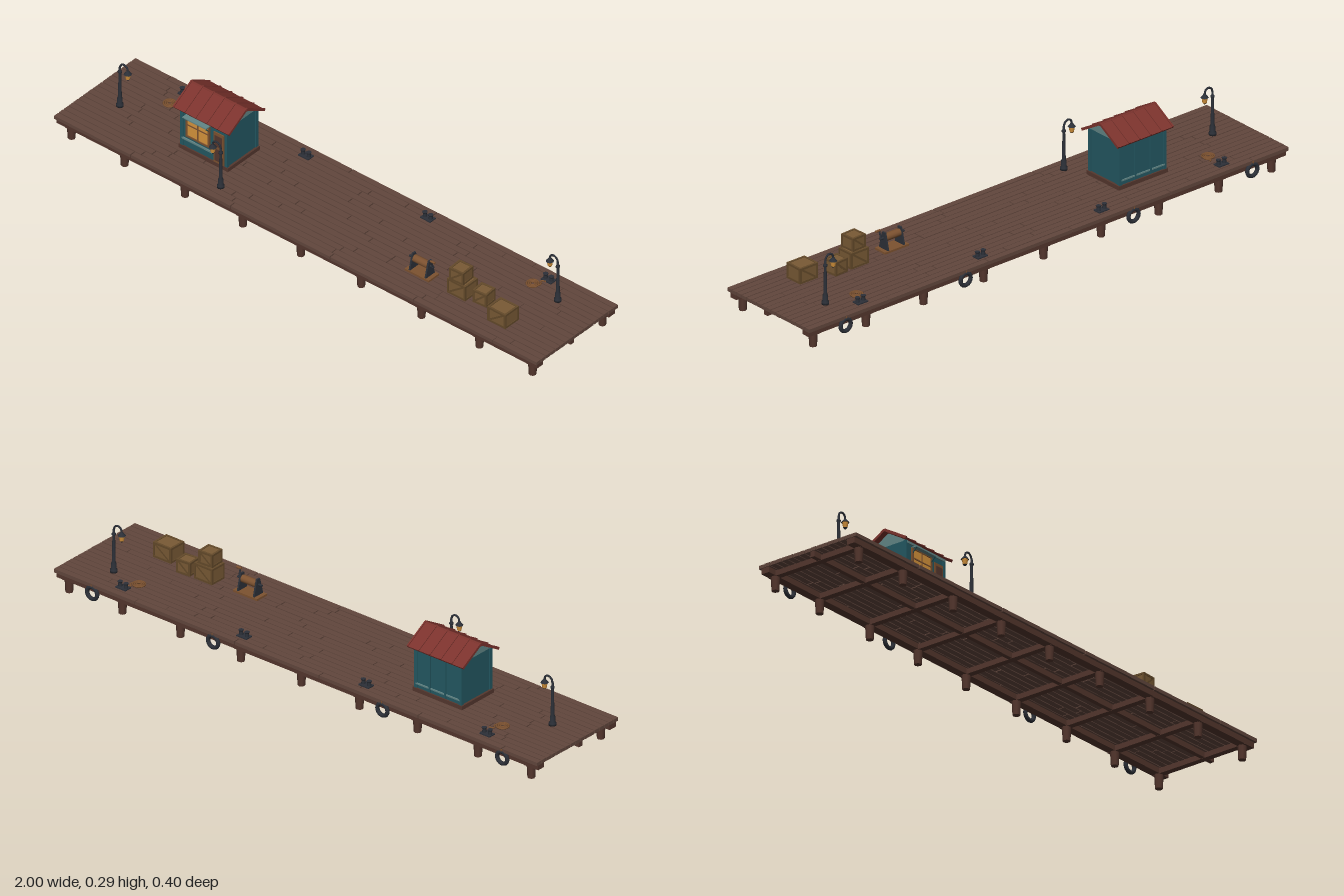
import * as THREE from 'three';

const material = (name, color) => {
  const m = new THREE.MeshStandardMaterial({ color });
  m.name = name;
  return m;
};
const M = {
  plank: material('deck wood', 0x62473d),
  beam: material('beam wood', 0x55372e),
  roof: material('roof red', 0x7c332d),
  wall: material('wall teal', 0x235862),
  trim: material('pale teal', 0x628686),
  iron: material('dark iron', 0x2c3038),
  amber: material('amber glass', 0xd8953c),
  crate: material('crate wood', 0x795a35),
  frame: material('crate frame', 0x644a2a),
  rope: material('rope brown', 0x7d5230),
};

let seed = 7;
const rnd = () => (seed = (seed * 16807) % 2147483647) / 2147483647;

function add(parent, name, geo, mat, x = 0, y = 0, z = 0) {
  const mesh = new THREE.Mesh(geo, mat);
  mesh.name = name;
  mesh.position.set(x, y, z);
  parent.add(mesh);
  return mesh;
}
// Box given by its centre
const box = (p, name, mat, w, h, d, x, y, z) => add(p, name, new THREE.BoxGeometry(w, h, d), mat, x, y, z);
// Cylinder standing on y
const post = (p, name, mat, rTop, rBottom, h, x, y, z, sides = 8) =>
  add(p, name, new THREE.CylinderGeometry(rTop, rBottom, h, sides), mat, x, y + h / 2, z);
// Round bar along a curve through points
const bar = (p, name, mat, r, pts, steps = 12) =>
  add(p, name, new THREE.TubeGeometry(new THREE.CatmullRomCurve3(pts.map(a => new THREE.Vector3(...a))), steps, r, 6), mat);
function group(parent, name, x = 0, y = 0, z = 0) {
  const g = new THREE.Group();
  g.name = name;
  g.position.set(x, y, z);
  parent.add(g);
  return g;
}

function buildDeck(root) {
  const deck = group(root, 'deck');
  // Staggered planks
  const rows = 17, pitch = 0.4 / rows;
  for (let r = 0; r < rows; r++) {
    const z = -0.2 + pitch * (r + 0.5);
    let x = -1;
    while (x < 0.999) {
      let end = x + (x === -1 ? 0.15 + rnd() * 0.3 : 0.3 + rnd() * 0.15);
      if (end > 0.9) end = 1;
      box(deck, 'plank', M.plank, end - x - (end < 1 ? 0.004 : 0), 0.012, pitch - 0.003,
        (x + end) / 2, 0.074 - rnd() * 0.001, z);
      x = end;
    }
  }
  // Long stringers, cross beams and piles
  for (const z of [-0.175, 0.018, 0.175])
    box(deck, 'stringer', M.beam, 1.99, 0.02, z === 0.018 ? 0.016 : 0.03, 0, 0.058, z);
  for (const x of [-0.95, -0.73, -0.48, -0.24, 0, 0.25, 0.5, 0.74, 0.96]) {
    box(deck, 'crossBeam', M.beam, 0.022, 0.018, 0.38, x, 0.056, 0);
    for (const z of [-0.17, 0.17]) post(deck, 'pile', M.beam, 0.016, 0.0125, 0.067, x, 0, z);
  }
}

function buildHut(root) {
  const hut = group(root, 'hut', -0.49, 0.08, -0.008);
  box(hut, 'hutBase', M.beam, 0.205, 0.014, 0.156, 0, 0.007, 0);
  box(hut, 'hutWalls', M.wall, 0.19, 0.148, 0.146, 0, 0.087, 0);
  // Gable prism under the roof
  const gable = new THREE.Shape([[-0.073, 0], [0.073, 0], [0, 0.046]].map(p => new THREE.Vector2(...p)));
  const gableGeo = new THREE.ExtrudeGeometry(gable, { depth: 0.19, bevelEnabled: false });
  gableGeo.translate(0, 0, -0.095);
  gableGeo.rotateY(Math.PI / 2);
  add(hut, 'gable', gableGeo, M.trim, 0, 0.161, 0);
  // Corner posts and low trim rails
  for (const s of [-1, 1]) {
    for (const t of [-1, 1]) box(hut, 'cornerPost', M.wall, 0.012, 0.148, 0.012, s * 0.092, 0.087, t * 0.07);
    box(hut, 'eaveTrim', M.trim, 0.19, 0.008, 0.005, 0, 0.155, s * 0.075);
  }
  box(hut, 'frontRail', M.trim, 0.125, 0.006, 0.005, -0.027, 0.044, 0.075);
  box(hut, 'backRail', M.trim, 0.18, 0.005, 0.004, 0, 0.03, -0.0745);
  for (const x of [-0.032, 0.032]) box(hut, 'backBatten', M.wall, 0.006, 0.14, 0.006, x, 0.087, -0.075);
  // Roof slopes with raised seams
  for (const s of [-1, 1]) {
    const slope = group(hut, 'roofSlope', 0, 0.183, s * 0.0435);
    slope.rotation.x = s * 0.535;
    box(slope, 'roofSheet', M.roof, 0.232, 0.006, 0.102, 0, 0, 0);
    for (let i = 0; i < 6; i++) box(slope, 'roofSeam', M.roof, 0.005, 0.004, 0.102, -0.1135 + i * 0.0454, 0.004, 0);
  }
  const ridge = post(hut, 'ridgeCap', M.roof, 0.005, 0.005, 0.234, 0, 0.208 - 0.117, 0);
  ridge.rotation.z = Math.PI / 2;
  // Window with glazing bars
  const win = group(hut, 'window', -0.023, 0.101, 0.074);
  box(win, 'windowPane', M.amber, 0.092, 0.074, 0.004, 0, 0, 0.001);
  for (const s of [-1, 1]) {
    box(win, 'windowFrame', M.rope, 0.006, 0.08, 0.008, s * 0.046, 0, 0.002);
    box(win, 'windowFrame', M.rope, 0.098, 0.006, 0.008, 0, s * 0.039, 0.002);
  }
  box(win, 'windowBar', M.rope, 0.004, 0.074, 0.006, 0, 0, 0.002);
  box(win, 'windowBar', M.rope, 0.092, 0.004, 0.006, 0, 0.006, 0.002);
  // Small awning on brackets
  box(hut, 'awning', M.trim, 0.098, 0.004, 0.023, -0.023, 0.142, 0.084);
  for (const x of [-0.069, 0.023])
    bar(hut, 'awningBracket', M.wall, 0.002, [[x, 0.14, 0.094], [x, 0.119, 0.074]], 1);
  // Door
  box(hut, 'door', M.rope, 0.042, 0.118, 0.006, 0.063, 0.073, 0.074);
  box(hut, 'doorPanel', M.beam, 0.03, 0.046, 0.003, 0.063, 0.045, 0.077);
  box(hut, 'doorPanel', M.beam, 0.03, 0.042, 0.003, 0.063, 0.1, 0.077);
  add(hut, 'doorKnob', new THREE.SphereGeometry(0.003, 8, 6), M.amber, 0.049, 0.073, 0.079);
}

function buildLamp(root, x, z, side) {
  const lamp = group(root, 'lampPost', x, 0.08, z);
  lamp.scale.x = 1;
  const profile = [[0, 0], [0.0125, 0], [0.0125, 0.008], [0.009, 0.013], [0.009, 0.03], [0.0065, 0.036],
    [0.0045, 0.13], [0.007, 0.133], [0.007, 0.138], [0.004, 0.141], [0.004, 0.152], [0, 0.152]];
  add(lamp, 'post', new THREE.LatheGeometry(profile.map(p => new THREE.Vector2(...p)), 10), M.iron);
  // Crook carrying the lantern
  bar(lamp, 'crook', M.iron, 0.0035,
    [[0, 0.148, 0], [side * 0.004, 0.163, 0], [side * 0.016, 0.17, 0], [side * 0.029, 0.165, 0], [side * 0.033, 0.152, 0]]);
  const lx = side * 0.033;
  post(lamp, 'lanternCap', M.iron, 0.003, 0.0135, 0.013, lx, 0.141, 0);
  post(lamp, 'lanternGlass', M.amber, 0.01, 0.007, 0.018, lx, 0.123, 0);
  post(lamp, 'lanternFoot', M.iron, 0.007, 0.004, 0.004, lx, 0.119, 0);
}

function buildCrate(root, x, y, z, w, h, d, turn = 0) {
  const crate = group(root, 'crate', x, y + h / 2, z);
  crate.rotation.y = turn;
  const t = 0.007;
  box(crate, 'crateBody', M.crate, w - 0.004, h - 0.004, d - 0.004, 0, 0, 0);
  for (const s of [-1, 1]) for (const u of [-1, 1]) {
    box(crate, 'frameX', M.frame, w, t, t, 0, s * (h - t) / 2, u * (d - t) / 2);
    box(crate, 'frameY', M.frame, t, h, t, s * (w - t) / 2, 0, u * (d - t) / 2);
    box(crate, 'frameZ', M.frame, t, t, d, s * (w - t) / 2, u * (h - t) / 2, 0);
  }
  // Diagonal braces, front and back
  for (const s of [-1, 1]) {
    const brace = box(crate, 'brace', M.frame, Math.hypot(w, h) - 0.018, 0.006, 0.003, 0, 0, s * (d / 2 - 0.002));
    brace.rotation.z = Math.atan2(h, w);
  }
}

function buildWinch(root) {
  const winch = group(root, 'winch', 0.42, 0.08, 0.075);
  box(winch, 'winchBase', M.rope, 0.1, 0.007, 0.05, 0, 0.0035, 0);
  const side = new THREE.Shape([[-0.022, 0], [0.022, 0], [0.007, 0.058], [-0.007, 0.058]].map(p => new THREE.Vector2(...p)));
  const sideGeo = new THREE.ExtrudeGeometry(side, { depth: 0.006, bevelEnabled: false });
  for (const s of [-1, 1]) {
    const m = add(winch, 'winchFrame', sideGeo, M.iron, s * 0.033 - 0.003, 0.007, 0);
    m.rotation.y = Math.PI / 2;
  }
  for (const [name, mat, r, len] of [['axle', M.iron, 0.004, 0.1], ['ropeDrum', M.rope, 0.013, 0.058]]) {
    const m = post(winch, name, mat, r, r, len, 0, 0.045 - len / 2, 0, 12);
    m.rotation.z = Math.PI / 2;
  }
  // Crank handle
  bar(winch, 'crank', M.iron, 0.003, [[0.046, 0.045, 0], [0.046, 0.072, 0.008]], 1);
  const grip = post(winch, 'crankGrip', M.rope, 0.004, 0.004, 0.018, 0.052, 0.063, 0.008);
  grip.rotation.z = Math.PI / 2;
}

function buildMooring(root) {
  // Twin bollards along the back edge
  for (const x of [-0.755, -0.255, 0.25, 0.75]) {
    const b = group(root, 'bollard', x, 0.08, -0.155);
    box(b, 'bollardPlate', M.iron, 0.042, 0.004, 0.028, 0, 0.002, 0);
    for (const s of [-1, 1]) {
      post(b, 'bollardPost', M.iron, 0.006, 0.007, 0.014, s * 0.012, 0.003, 0);
      post(b, 'bollardHead', M.iron, 0.009, 0.007, 0.005, s * 0.012, 0.016, 0);
    }
  }
  // Tyre fenders hung on the back edge
  for (const x of [-0.85, -0.355, 0.345, 0.845]) {
    add(root, 'fender', new THREE.TorusGeometry(0.021, 0.007, 8, 18), M.iron, x, 0.045, -0.194);
    box(root, 'fenderRope', M.rope, 0.003, 0.012, 0.003, x, 0.071, -0.198);
  }
  // Rope coils with loose tails
  for (const [x, z] of [[-0.76, -0.085], [0.725, -0.107]]) {
    const coil = group(root, 'ropeCoil', x, 0.083, z);
    for (const r of [0.008, 0.014, 0.02])
      add(coil, 'ropeTurn', new THREE.TorusGeometry(r, 0.003, 6, 18), M.rope).rotation.x = Math.PI / 2;
    bar(coil, 'ropeTail', M.rope, 0.0025, [[0.019, 0, 0.004], [0.022, 0, -0.014], [0.012, 0, -0.027], [0.026, 0, -0.035]]);
  }
}

export function createModel() {
  const root = new THREE.Group();
  root.name = 'pier';
  buildDeck(root);
  buildHut(root);
  buildLamp(root, -0.873, 0.025, 1);
  buildLamp(root, -0.355, 0.143, -1);
  buildLamp(root, 0.842, -0.092, -1);
  buildCrate(root, 0.584, 0.08, 0.07, 0.075, 0.056, 0.062);
  buildCrate(root, 0.582, 0.136, 0.073, 0.056, 0.046, 0.054, 0.05);
  buildCrate(root, 0.665, 0.08, 0.06, 0.054, 0.048, 0.05, 0.08);
  buildCrate(root, 0.775, 0.08, 0.097, 0.075, 0.054, 0.066);
  buildWinch(root);
  buildMooring(root);
  return root;
}
